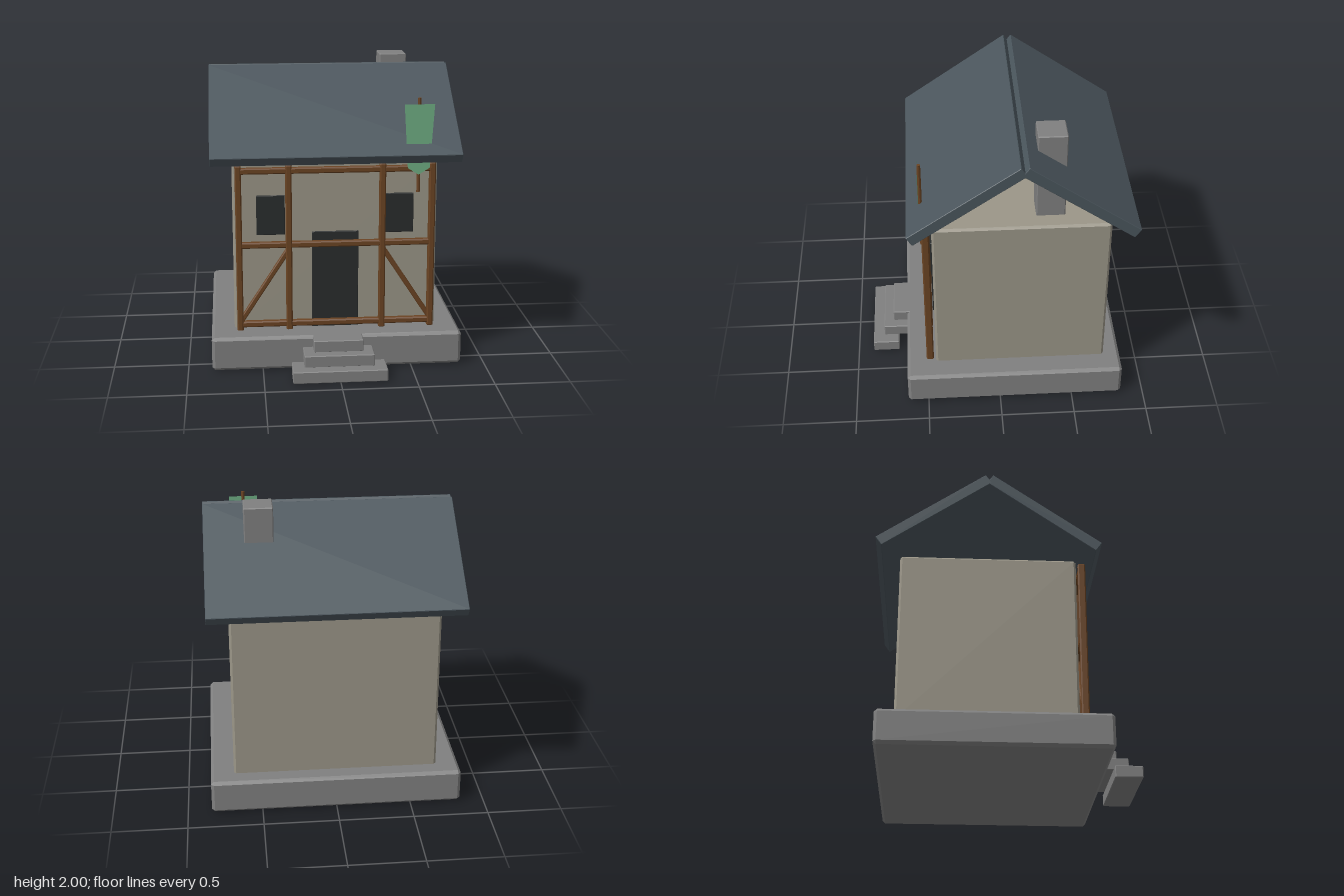
import * as THREE from 'three';
import { ConvexGeometry } from 'three/addons/geometries/ConvexGeometry.js';

const mat = (color) => new THREE.MeshStandardMaterial({ color, flatShading: true });
const stone = mat(0x808080);
const plaster = mat(0x9b9688);
const slate = mat(0x4a555c);
const wood = mat(0x6b4423);
const dark = mat(0x2a2d2d);
const cloth = mat(0x6fae84);
cloth.side = THREE.DoubleSide;

// Box with chamfered edges: each corner becomes three points
function chamferBox(w, h, d, c) {
  const pts = [];
  for (const x of [-1, 1]) for (const y of [-1, 1]) for (const z of [-1, 1]) {
    const a = w / 2, b = h / 2, e = d / 2;
    pts.push(
      new THREE.Vector3(x * a, y * (b - c), z * (e - c)),
      new THREE.Vector3(x * (a - c), y * b, z * (e - c)),
      new THREE.Vector3(x * (a - c), y * (b - c), z * e));
  }
  return new ConvexGeometry(pts);
}

export function createModel() {
  const house = new THREE.Group();
  house.name = 'house';

  const add = (name, geometry, material, parent = house) => {
    const mesh = new THREE.Mesh(geometry, material);
    mesh.name = name;
    parent.add(mesh);
    return mesh;
  };
  // Block given by its low and high limits on each axis
  const block = (name, material, [x0, x1], [y0, y1], [z0, z1], c, parent) => {
    const mesh = add(name, chamferBox(x1 - x0, y1 - y0, z1 - z0, c), material, parent);
    mesh.position.set((x0 + x1) / 2, (y0 + y1) / 2, (z0 + z1) / 2);
    return mesh;
  };

  // Foundation, walls and chimney
  block('foundation', stone, [-0.84, 0.84], [0.005, 0.235], [-0.845, 0.64], 0.02);
  block('walls', plaster, [-0.685, 0.685], [0.22, 1.39], [-0.73, 0.44], 0.015);
  block('chimney', stone, [0.375, 0.565], [1.375, 2], [-0.435, -0.245], 0.006);

  // Steps, narrowing towards the door
  const steps = new THREE.Group();
  steps.name = 'steps';
  house.add(steps);
  [[0.312, 0.89], [0.233, 0.81], [0.165, 0.74]].forEach(([half, front], i) =>
    block('step', stone, [-half, half], [i * 0.077, (i + 1) * 0.077 + 0.004],
      [front - 0.185, front], 0.005, steps));

  // Two roof slabs crossing at the ridge
  for (const side of [1, -1]) {
    const slab = add('roofSlab', chamferBox(1.655, 0.073, 0.88, 0.003), slate);
    slab.position.set(0, 1.67, -0.1455 + side * 0.365);
    slab.rotation.x = side * THREE.MathUtils.degToRad(35);
  }

  // Door and windows
  block('door', dark, [-0.157, 0.157], [0.225, 0.905], [0.42, 0.453], 0.003);
  for (const s of [-1, 1])
    block('window', dark, [s * 0.432 - 0.095, s * 0.432 + 0.095], [0.89, 1.16], [0.42, 0.453], 0.003);

  // Timber frame on the front wall
  const frame = new THREE.Group();
  frame.name = 'timberFrame';
  house.add(frame);
  for (const x of [-0.645, -0.313, 0.313, 0.645])
    block('post', wood, [x - 0.021, x + 0.021], [0.23, 1.378], [0.455, 0.505], 0.008, frame);
  for (const y of [0.275, 0.83, 1.337])
    block('rail', wood, [-0.665, 0.665], [y - 0.02, y + 0.02], [0.457, 0.501], 0.008, frame);
  for (const s of [-1, 1]) {
    const dx = -0.325, dy = 0.5;
    const brace = add('brace', chamferBox(0.033, Math.hypot(dx, dy), 0.034, 0.006), wood, frame);
    brace.position.set(s * 0.475, 0.55, 0.478);
    brace.rotation.z = s * Math.atan2(-dx, dy);
  }

  // Banner on a pole
  const pole = add('bannerPole', new THREE.CylinderGeometry(0.012, 0.012, 0.63, 8), wood);
  pole.position.set(0.547, 1.495, 0.503);
  const outline = new THREE.Shape([
    [-0.1, 1.77], [-0.073, 1.345], [0, 1.3], [0.073, 1.345], [0.1, 1.77],
  ].map(([x, y]) => new THREE.Vector2(x, y)));
  const banner = add('banner', new THREE.ShapeGeometry(outline), cloth);
  banner.position.set(0.547, 0, 0.516);

  return house;
}
